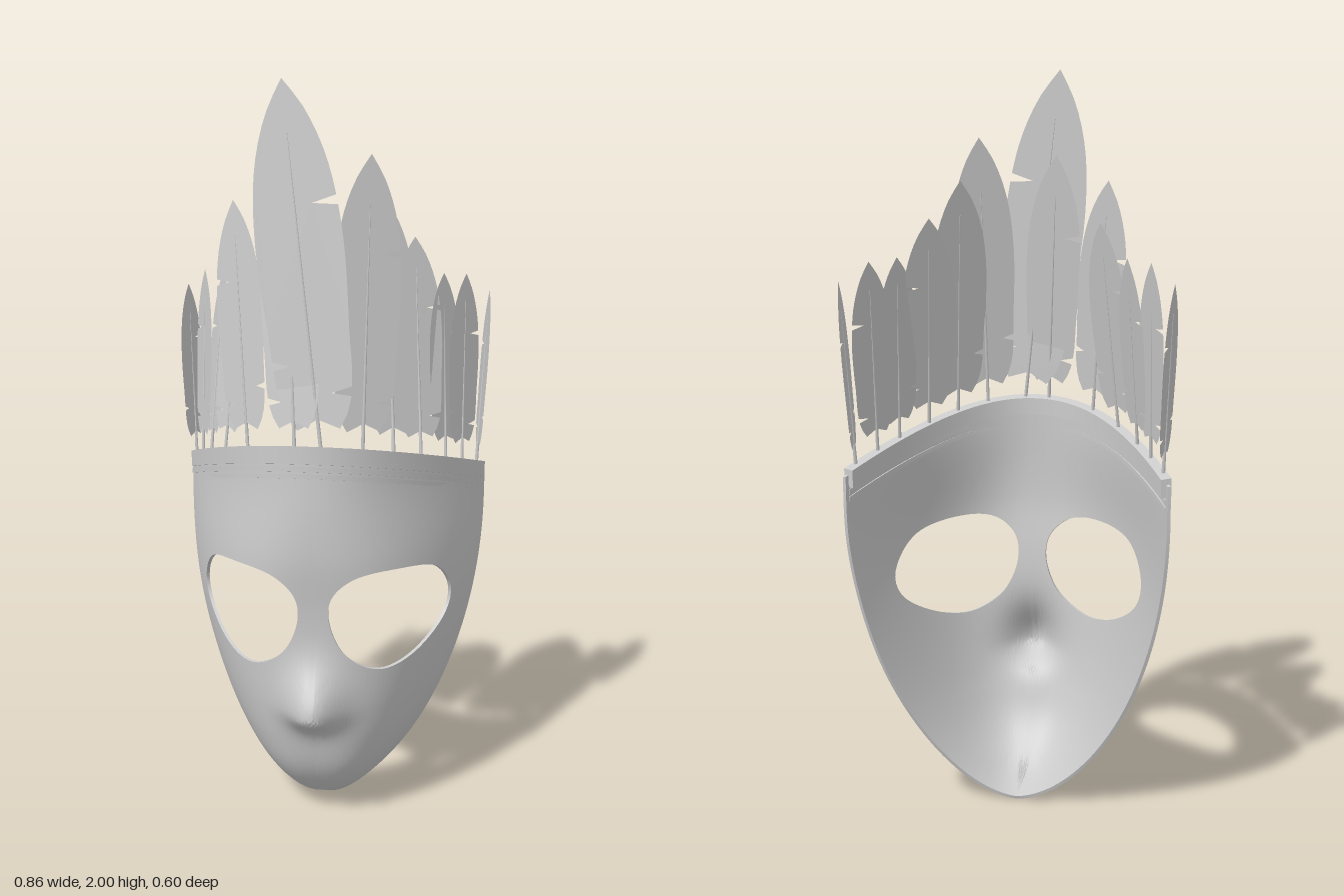
import * as THREE from 'three';
import { mergeGeometries, toCreasedNormals } from 'three/addons/utils/BufferGeometryUtils.js';

const grey = new THREE.MeshStandardMaterial({ color: 0xcccccc });
const greyThin = new THREE.MeshStandardMaterial({ color: 0xcccccc, side: THREE.DoubleSide });
const TILT = 0.31; // slope of the brow line from back to front

// smooth value through (key, value) pairs
function curveThrough(pairs) {
  const c = new THREE.CubicInterpolant(pairs.map(p => p[0]), pairs.map(p => p[1]), 1);
  return v => c.evaluate(v)[0];
}

// face: centre line depth, side edge depth, half width
const centreZ = curveThrough([[0, -0.05], [0.03, 0.035], [0.08, 0.1], [0.15, 0.155], [0.25, 0.19],
  [0.35, 0.205], [0.5, 0.215], [0.65, 0.228], [0.8, 0.245], [1.1, 0.24]]);
const edgeZ = curveThrough([[0, -0.05], [0.2, -0.105], [0.4, -0.16], [0.6, -0.2], [0.8, -0.235], [1.1, -0.24]]);
const halfWidth = y => (y >= 0.85 ? 0.426 : 0.426 * Math.pow(Math.max(0, 1 - (1 - y / 0.85) ** 2), 0.58));

function faceZ(x, y) {
  const w = halfWidth(y);
  const t = w > 0 ? Math.min(1, x / w) : 1;
  const bow = 2.8 - 0.7 * THREE.MathUtils.smoothstep(y, 0.6, 1);
  const s = (y - 0.365) / (y > 0.365 ? 0.11 : 0.055);
  const nose = 0.092 * Math.exp(-s * s) * Math.exp(-((x / 0.075) ** 2));
  return THREE.MathUtils.lerp(centreZ(y), edgeZ(y), Math.pow(t, bow)) + nose;
}

// outline of the left half of the face, counter-clockwise from the chin
function halfOutline() {
  const pts = [];
  for (let i = 0; i < 60; i++) {
    const y = 0.935 * (i / 60) ** 2;
    pts.push([halfWidth(y), y]);
  }
  for (let i = 0; i < 26; i++) {
    const t = 1 - i / 26;
    pts.push([0.426 * t, 1.085 - 0.15 * Math.pow(t, 2.1)]);
  }
  for (let i = 0; i < 60; i++) pts.push([0, 1.085 * (1 - i / 60)]);
  return pts;
}

// half mask: rings running from the eye hole to the outline, doubled for thickness
function halfMask(thickness) {
  const outline = halfOutline(), N = outline.length, R = 30;
  const cx = 0.19, cy = 0.62;
  const eye = new THREE.CatmullRomCurve3([[0.19, 0.757], [0.105, 0.742], [0.05, 0.69], [0.042, 0.62], [0.085, 0.525],
    [0.175, 0.473], [0.255, 0.49], [0.33, 0.56], [0.347, 0.64], [0.305, 0.73]]
    .map(p => new THREE.Vector3(p[0], p[1], 0)), true).getPoints(600);
  const pos = [], front = [], index = [];
  const rim = outline.map(([x, y]) => {
    const dx = x - cx, dy = y - cy, l = Math.hypot(dx, dy);
    let best = eye[0], score = -2;
    for (const e of eye) {
      const ex = e.x - cx, ey = e.y - cy;
      const c = (ex * dx + ey * dy) / (l * Math.hypot(ex, ey));
      if (c > score) { score = c; best = e; }
    }
    return best;
  });
  for (let i = 0; i <= R; i++) {
    for (let j = 0; j < N; j++) {
      const x = THREE.MathUtils.lerp(rim[j].x, outline[j][0], i / R);
      const y = THREE.MathUtils.lerp(rim[j].y, outline[j][1], i / R);
      pos.push(x, y, faceZ(x, y));
    }
  }
  const quad = (list, a, b, c, d) => list.push(a, b, c, a, c, d);
  for (let i = 0; i < R; i++) {
    for (let j = 0; j < N; j++) {
      const k = (j + 1) % N;
      quad(front, i * N + j, (i + 1) * N + j, (i + 1) * N + k, i * N + k);
    }
  }
  const skin = new THREE.BufferGeometry();
  skin.setAttribute('position', new THREE.Float32BufferAttribute(pos, 3));
  skin.setIndex(front);
  skin.computeVertexNormals();
  const n = skin.attributes.normal, count = n.count, v = new THREE.Vector3();
  for (let i = 0; i < count; i++) {
    v.fromBufferAttribute(n, i);
    if (pos[i * 3] < 1e-6) v.x = 0;
    v.normalize().multiplyScalar(thickness);
    pos.push(Math.max(pos[i * 3] * 0.3, pos[i * 3] - v.x), pos[i * 3 + 1] - v.y, pos[i * 3 + 2] - v.z);
  }
  index.push(...front);
  for (let i = 0; i < front.length; i += 3) index.push(front[i] + count, front[i + 2] + count, front[i + 1] + count);
  for (let j = 0; j < N; j++) {
    const k = (j + 1) % N, o = R * N;
    quad(index, k, k + count, j + count, j); // eye hole wall
    if (outline[j][0] > 0 || outline[k][0] > 0) quad(index, o + j, o + j + count, o + k + count, o + k);
  }
  const g = new THREE.BufferGeometry();
  g.setAttribute('position', new THREE.Float32BufferAttribute(pos, 3));
  g.setIndex(index);
  return g;
}

function mirrored(geometry) {
  const g = geometry.clone().scale(-1, 1, 1), a = g.index.array;
  for (let i = 0; i < a.length; i += 3) [a[i], a[i + 1]] = [a[i + 1], a[i]];
  return g;
}

// brow curve seen from above
const browZ = x => 0.24 - 0.485 * Math.pow(Math.abs(x) / 0.423, 2.1);
const browSlope = x => (browZ(x + 0.001) - browZ(x - 0.001)) / 0.002;

// strip following the brow, from inner to outer offset
function browStrip(name, bottom, height, inner, outer) {
  const side = offset => Array.from({ length: 49 }, (_, i) => {
    const x = -0.417 + 0.834 * i / 48, m = browSlope(x), l = Math.hypot(1, m);
    return new THREE.Vector2(x - m / l * offset, -(browZ(x) + offset / l));
  });
  const shape = new THREE.Shape([...side(inner), ...side(outer).reverse()]);
  let g = new THREE.ExtrudeGeometry(shape, { depth: height, bevelEnabled: false });
  g.rotateX(-Math.PI / 2);
  const p = g.attributes.position;
  for (let i = 0; i < p.count; i++) p.setY(i, p.getY(i) + bottom + TILT * p.getZ(i));
  g = toCreasedNormals(g, 0.5);
  const mesh = new THREE.Mesh(g, grey);
  mesh.name = name;
  return mesh;
}

// blade outline with split barbs; width is half the blade, from y0 to y1
function bladeShape(width, y0, y1, flip) {
  const half = curveThrough([[0, 0.5], [0.06, 0.76], [0.3, 0.94], [0.58, 1], [0.78, 0.8], [0.92, 0.4], [1, 0]]);
  const edge = (sign, notches) => {
    const pts = [];
    for (let i = 0; i <= 24; i++) pts.push([i / 24, half(i / 24)]);
    for (const [u, depth] of notches) {
      pts.push([u - 0.012, half(u - 0.012)], [u, half(u) * (1 - depth)], [u + 0.016, half(u + 0.016)]);
    }
    return pts.sort((a, b) => a[0] - b[0])
      .map(([u, w]) => new THREE.Vector2(sign * flip * w * width, y0 + (y1 - y0) * u));
  };
  const right = edge(1, [[0.105, 0.55], [0.648, 0.6]]);
  const left = edge(-1, [[0.19, 0.4]]);
  return new THREE.Shape([new THREE.Vector2(0, y0 + 0.03 * (y1 - y0)), ...right, ...left.reverse().slice(1)]);
}

// feather from the brow to its tip; turn is how far the blade faces sideways, in degrees
function feather(baseX, tip, width, turn) {
  const side = Math.sign(baseX), z = browZ(baseX);
  const base = new THREE.Vector3(baseX, 1.0 + TILT * z, z);
  const up = new THREE.Vector3(...tip).sub(base);
  const length = up.length();
  up.normalize();
  const angle = THREE.MathUtils.degToRad(turn);
  const across = new THREE.Vector3(Math.cos(angle), 0, -side * Math.sin(angle));
  across.addScaledVector(up, -across.dot(up)).normalize();
  const group = new THREE.Group();
  group.name = 'feather';
  const blade = new THREE.Mesh(new THREE.ShapeGeometry(bladeShape(width, 0.07, length, side)), greyThin);
  blade.name = 'featherBlade';
  const quill = new THREE.Mesh(new THREE.CylinderGeometry(0.001, 0.005, length * 0.86, 6), grey);
  quill.position.y = length * 0.43;
  quill.name = 'featherQuill';
  group.add(blade, quill);
  group.applyMatrix4(new THREE.Matrix4().makeBasis(across, up, across.clone().cross(up)).setPosition(base));
  return group;
}

export function createModel() {
  const model = new THREE.Group();
  model.name = 'featheredMask';

  const half = halfMask(0.009);
  const face = new THREE.Mesh(toCreasedNormals(mergeGeometries([half, mirrored(half)]), 0.7), grey);
  face.name = 'maskFace';
  model.add(face);

  // headband with two cords beneath it
  model.add(browStrip('headband', 0.978, 0.047, -0.018, 0.01));
  model.add(browStrip('upperCord', 0.958, 0.014, -0.006, 0.009));
  model.add(browStrip('lowerCord', 0.94, 0.012, -0.006, 0.006));

  // feathers: base x, tip, half width, turn
  const feathers = [
    [0.025, [-0.085, 2.0, 0.16], 0.118, -14],
    [0.125, [0.135, 1.82, 0.13], 0.09, 28],
    [0.2, [0.16, 1.7, 0], 0.085, 42],
    [0.265, [0.23, 1.6, -0.07], 0.08, 42],
    [0.325, [0.305, 1.5, -0.12], 0.075, 62],
    [0.365, [0.362, 1.49, -0.19], 0.075, 62],
    [0.402, [0.425, 1.44, -0.25], 0.073, 99],
    [-0.045, [-0.08, 1.77, 0.13], 0.08, 15],
    [-0.18, [-0.23, 1.7, 0.06], 0.088, 38],
    [-0.265, [-0.22, 1.59, -0.04], 0.08, 48],
    [-0.325, [-0.3, 1.5, -0.14], 0.075, 62],
    [-0.365, [-0.365, 1.49, -0.19], 0.075, 62],
    [-0.402, [-0.428, 1.44, -0.25], 0.073, 99],
  ];
  feathers.forEach(f => model.add(feather(...f)));
  return model;
}
